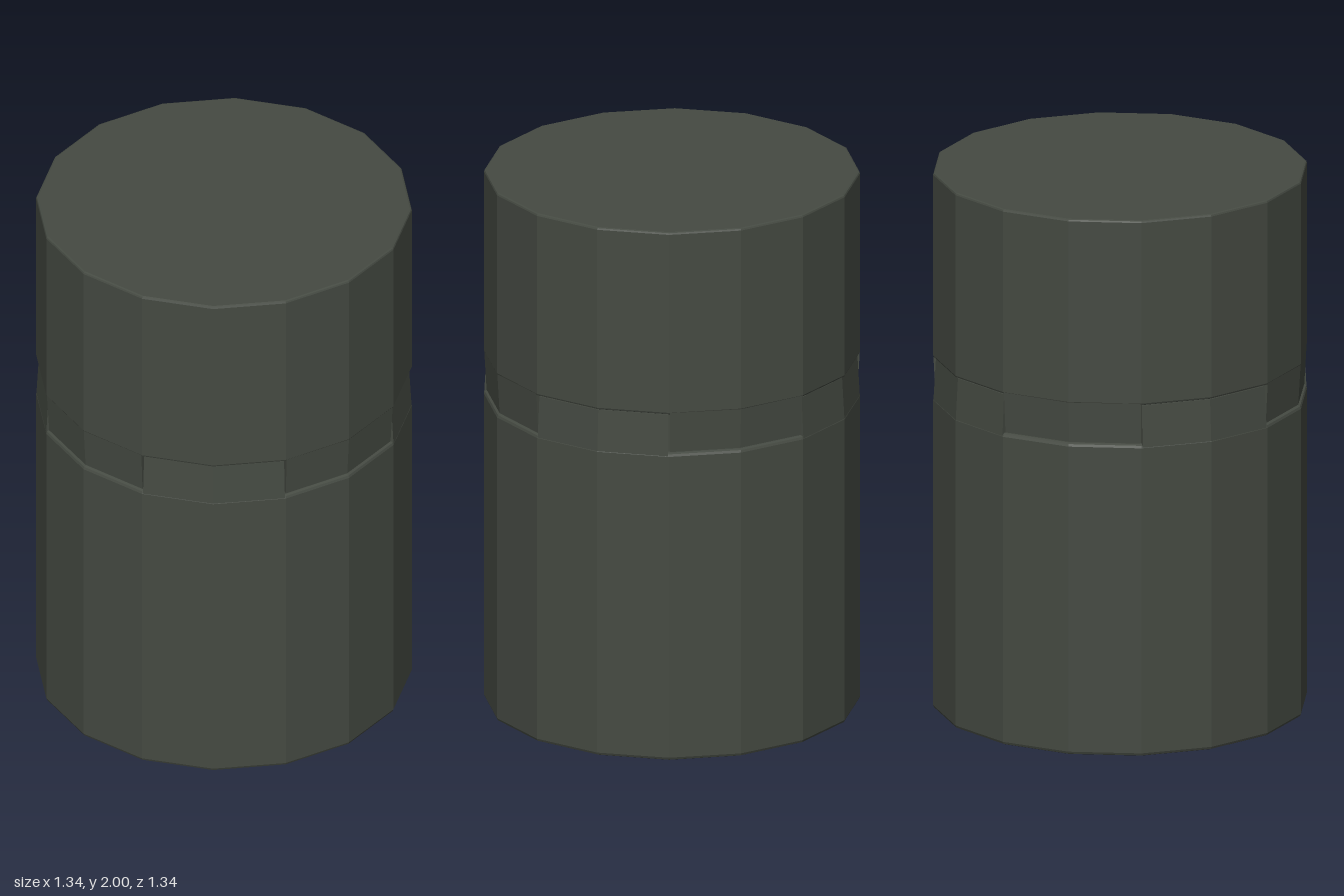
import * as THREE from 'three';

const SIDES = 16, STEP = Math.PI / 8, R = 0.672, SEAM_LOW = 1.163, SEAM_HIGH = 1.31;

export function createModel() {
  const paint = new THREE.MeshStandardMaterial({ color: 0x454a42, flatShading: true });
  paint.name = 'darkOlive';
  const group = new THREE.Group();
  group.name = 'liddedCanister';
  const add = (name, geometry) => {
    const mesh = new THREE.Mesh(geometry, paint);
    mesh.name = name;
    group.add(mesh);
    return mesh;
  };

  // Solid sixteen-sided drum with small chamfers at both rims
  const drum = (y0, y1, r, c) => new THREE.LatheGeometry([
    [0, y0], [r - c, y0], [r - c * 0.3, y0 + c * 0.3], [r, y0 + c],
    [r, y1 - c], [r - c * 0.3, y1 - c * 0.3], [r - c, y1], [0, y1],
  ].map(([x, y]) => new THREE.Vector2(x, y)), SIDES);

  add('body', drum(0, SEAM_LOW, R, 0.012));
  add('innerCore', drum(1.1, 1.36, 0.645, 0.005));
  add('lid', drum(SEAM_HIGH, 2, R, 0.008));

  // Two-facet tab, tapering from radius rLow to rHigh
  const tab = (y0, y1, rLow, rHigh, gap) => {
    const angles = [-STEP + gap, 0, STEP - gap];
    const ring = (r) => angles.map((a) => new THREE.Vector2(r * Math.cos(a), r * Math.sin(a)));
    const shape = new THREE.Shape([...ring(1), ...ring(0.85).reverse()]);
    const g = new THREE.ExtrudeGeometry(shape, { depth: y1 - y0, bevelEnabled: false });
    g.rotateX(-Math.PI / 2);
    g.translate(0, y0, 0);
    const p = g.attributes.position;
    for (let i = 0; i < p.count; i++) {
      const r = p.getY(i) > (y0 + y1) / 2 ? rHigh : rLow;
      p.setX(i, p.getX(i) * r);
      p.setZ(i, p.getZ(i) * r);
    }
    g.computeVertexNormals();
    return g;
  };

  // Lid tabs hang on the four axes, body tabs rise on the diagonals
  const lidTab = tab(SEAM_LOW + 0.003, SEAM_HIGH + 0.01, 0.662, 0.671, 0.005);
  const bodyTab = tab(SEAM_LOW - 0.01, SEAM_HIGH - 0.003, 0.671, 0.662, 0.005);
  for (let i = 0; i < 4; i++) {
    add('lidTab', lidTab).rotation.y = i * Math.PI / 2;
    add('bodyTab', bodyTab).rotation.y = (i + 0.5) * Math.PI / 2;
  }
  return group;
}
